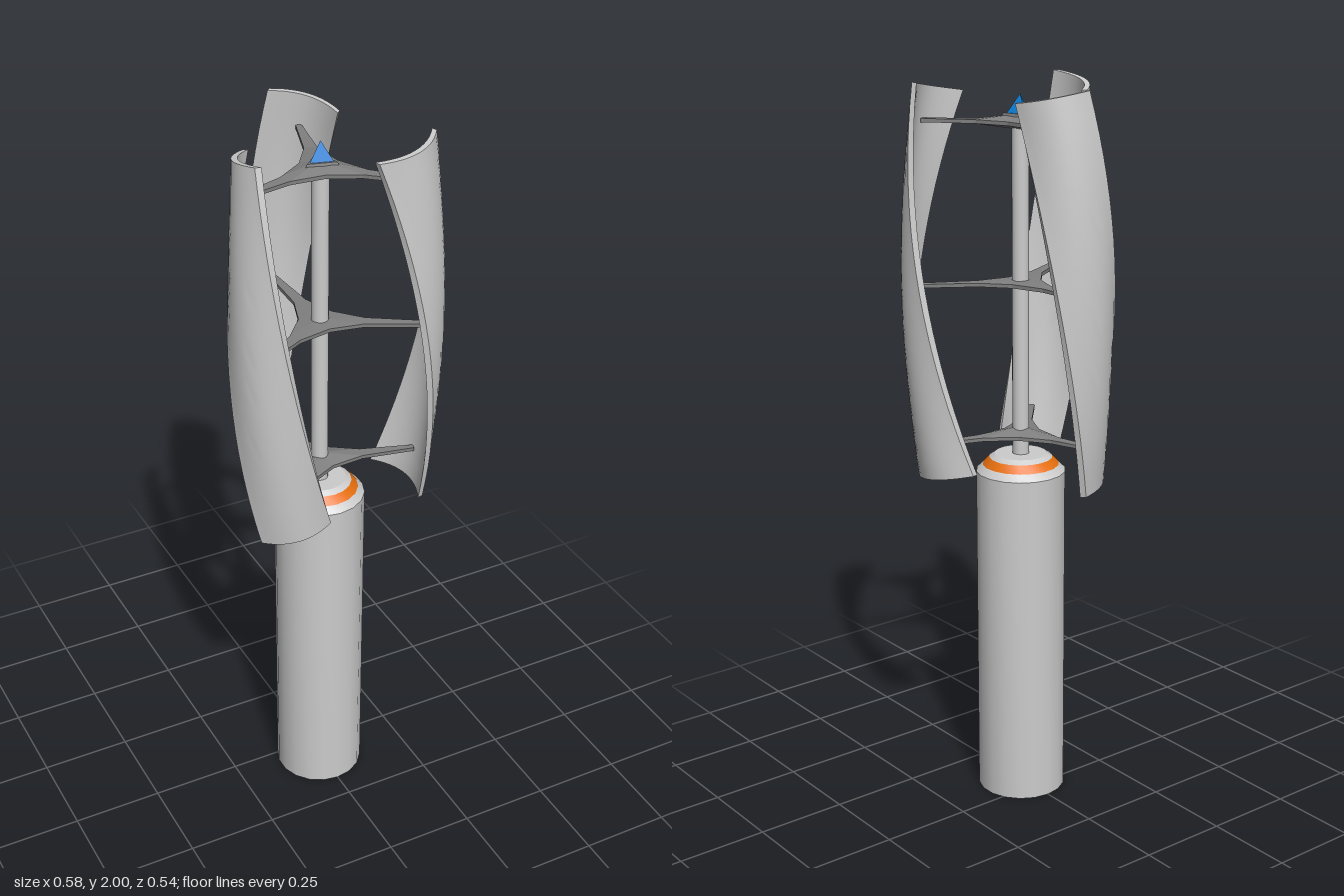
import * as THREE from 'three';
import { toCreasedNormals } from 'three/addons/utils/BufferGeometryUtils.js';

const paint = (name, color) => {
  const m = new THREE.MeshStandardMaterial({ color });
  m.name = name;
  return m;
};

function geometryFrom(positions, crease) {
  const g = new THREE.BufferGeometry();
  g.setAttribute('position', new THREE.Float32BufferAttribute(positions, 3));
  g.computeVertexNormals();
  return crease ? toCreasedNormals(g, crease) : g;
}

// Curved, twisted blade: an arc section that turns and moves inward towards both ends
function bladeGeometry() {
  const rows = 20, cols = 12, out = [];
  const point = (row, col, inner) => {
    const t = (row / rows) * 2 - 1, s = (col / cols) * 2 - 1;
    const turn = t * 0.8;
    const along = s * 0.093;
    const bulge = 0.04 * (1 - s * s) - (inner ? 0.016 : 0);
    const x = 0.065 * t + along * Math.cos(turn) + bulge * Math.sin(turn);
    const r = 0.278 - 0.0655 * t * t - along * Math.sin(turn) + bulge * Math.cos(turn);
    return [x, 1.47 + 0.5125 * t - 0.0175 * s * t * t, -r];
  };
  const quad = (a, b, c, d) => out.push(...a, ...b, ...c, ...a, ...c, ...d);
  for (let i = 0; i < rows; i++) {
    for (let j = 0; j < cols; j++) {
      quad(point(i, j), point(i + 1, j), point(i + 1, j + 1), point(i, j + 1));
      quad(point(i, j, true), point(i, j + 1, true), point(i + 1, j + 1, true), point(i + 1, j, true));
    }
    // long edges
    quad(point(i, 0, true), point(i + 1, 0, true), point(i + 1, 0), point(i, 0));
    quad(point(i, cols), point(i + 1, cols), point(i + 1, cols, true), point(i, cols, true));
  }
  // end caps
  for (let j = 0; j < cols; j++) {
    quad(point(rows, j), point(rows, j, true), point(rows, j + 1, true), point(rows, j + 1));
    quad(point(0, j), point(0, j + 1), point(0, j + 1, true), point(0, j, true));
  }
  return geometryFrom(out, 0.7);
}

// Three-armed spider: lens-like triangular hub with slim tapered arms
function spiderGeometry(reach, hubHalf) {
  const out = [], edge = 0.005;
  const at = (a, r, w, y) => [
    r * Math.sin(a) + w * Math.cos(a), y, -r * Math.cos(a) + w * Math.sin(a)];
  const flip = ([x, y, z]) => [x, -y, z];
  const both = (a, b, c) => out.push(...a, ...b, ...c, ...flip(a), ...flip(c), ...flip(b));
  const centre = [0, hubHalf, 0];
  for (let k = 0; k < 3; k++) {
    const a = (k * Math.PI * 2) / 3;
    const line = [
      at(a - Math.PI / 3, 0.055, 0, edge), at(a, 0.115, -0.017, edge),
      at(a, reach, -0.008, edge), at(a, reach, 0.008, edge),
      at(a, 0.115, 0.017, edge), at(a + Math.PI / 3, 0.055, 0, edge)];
    both(centre, line[1], line[0]);
    both(centre, line[4], line[1]);
    both(centre, line[5], line[4]);
    both(line[1], line[4], line[3]);
    both(line[1], line[3], line[2]);
    for (let i = 0; i < 5; i++) {
      const p = line[i], q = line[i + 1];
      out.push(...p, ...q, ...flip(q), ...p, ...flip(q), ...flip(p));
    }
  }
  return geometryFrom(out);
}

export function createModel() {
  const model = new THREE.Group();
  model.name = 'windTurbine';
  const rotor = new THREE.Group();
  rotor.name = 'turbineOnAxis';
  rotor.position.z = 0.055;
  model.add(rotor);

  const lightGrey = paint('lightGrey', 0xcccccc);
  const darkGrey = paint('darkGrey', 0x808080);
  const orange = paint('orange', 0xf0740f);
  const blue = paint('blue', 0x0c80d8);

  const add = (name, geometry, material, y = 0, turn = 0) => {
    const mesh = new THREE.Mesh(geometry, material);
    mesh.name = name;
    mesh.position.y = y;
    mesh.rotation.y = turn;
    rotor.add(mesh);
    return mesh;
  };
  const lathe = (points) => toCreasedNormals(
    new THREE.LatheGeometry(points.map(([r, y]) => new THREE.Vector2(r, y)), 18), 0.5);

  // Tower with a bevelled, banded top
  add('tower', lathe([[0, 0], [0.123, 0], [0.123, 0.947], [0.105, 0.965]]), lightGrey);
  add('towerBand', lathe([[0.105, 0.965], [0.087, 0.985]]), orange);
  add('towerCap', lathe([[0.087, 0.985], [0.072, 0.995], [0, 0.995]]), lightGrey);

  // Central shaft
  const shaft = new THREE.CylinderGeometry(0.023, 0.023, 0.91, 16);
  add('shaft', shaft, lightGrey, 1.44);

  // Spiders follow the twist of the blades
  const twist = Math.PI / 12;
  add('lowerSpider', spiderGeometry(0.26, 0.021), darkGrey, 1.05, twist);
  add('middleSpider', spiderGeometry(0.295, 0.009), darkGrey, 1.47);
  add('upperSpider', spiderGeometry(0.26, 0.021), darkGrey, 1.895, -twist);

  // Triangular seat and pyramid beacon on top
  const seat = new THREE.CylinderGeometry(0.044, 0.05, 0.012, 3).toNonIndexed();
  seat.computeVertexNormals();
  add('beaconSeat', seat, darkGrey, 1.911, Math.PI - twist);
  const beacon = new THREE.ConeGeometry(0.036, 0.052, 3).toNonIndexed();
  beacon.computeVertexNormals();
  add('beacon', beacon, blue, 1.941, Math.PI - twist);

  // Three blades around the axis
  const blade = bladeGeometry();
  ['backBlade', 'rightBlade', 'leftBlade'].forEach((name, k) =>
    add(name, blade, lightGrey, 0, (k * Math.PI * 2) / 3));

  return model;
}
